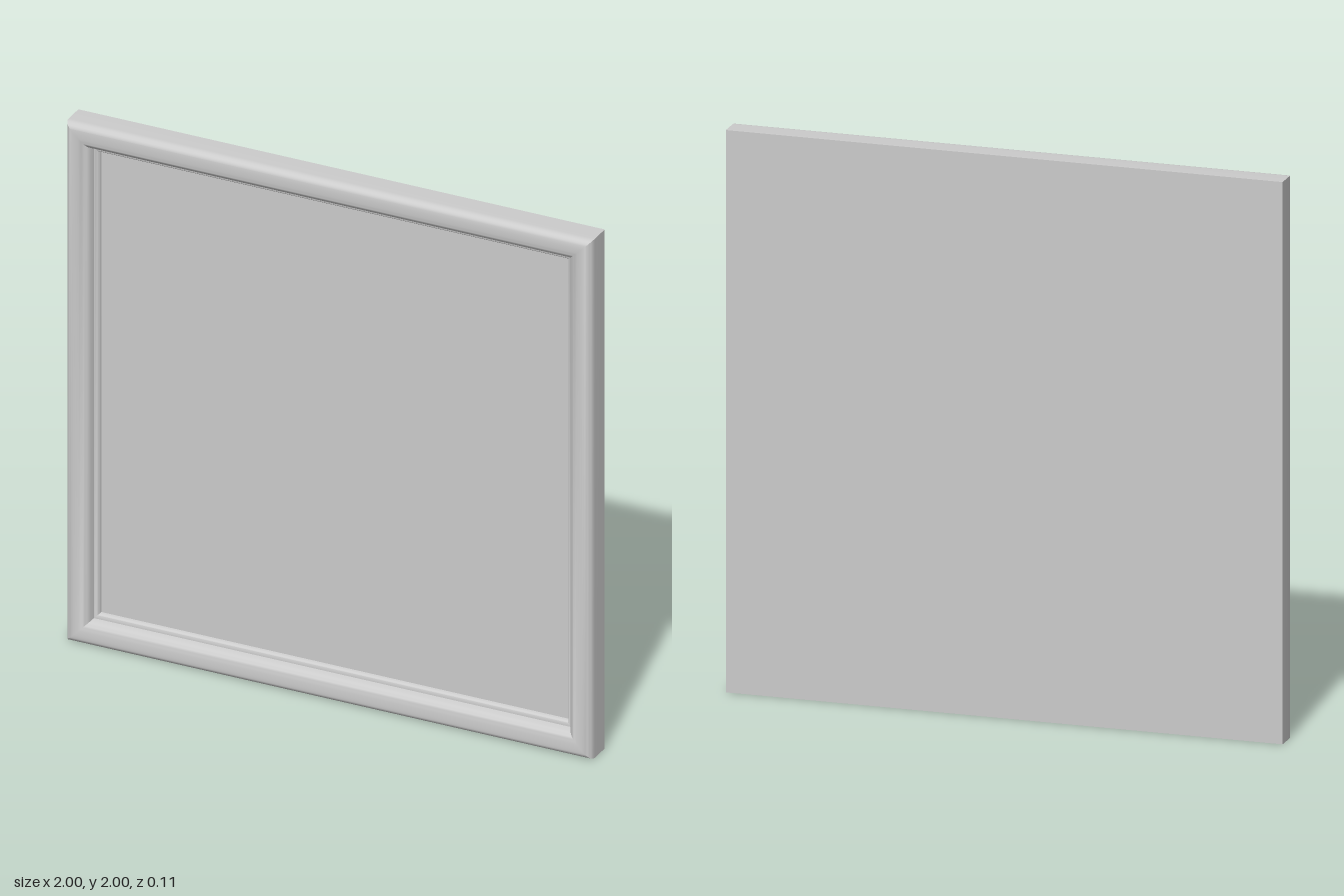
import * as THREE from 'three';
import { toCreasedNormals } from 'three/addons/utils/BufferGeometryUtils.js';

const BACK = -0.055, PANEL = -0.005, INNER = 0.888;

// Moulding cross-section: x = distance from the centre, y = depth toward the front
function mouldingProfile() {
  const s = new THREE.Shape();
  s.moveTo(INNER, BACK);
  s.lineTo(1, BACK);
  s.lineTo(1, 0.02);
  s.bezierCurveTo(1, 0.043, 0.988, 0.055, 0.965, 0.055); // rounded outer edge
  s.bezierCurveTo(0.94, 0.055, 0.92, 0.05, 0.912, 0.03); // soft inner slope
  s.lineTo(0.908, 0.012);
  s.lineTo(0.9, 0.012); // small inner step
  s.quadraticCurveTo(0.89, 0.01, INNER, PANEL);
  return s.getPoints(8);
}

export function createModel() {
  const group = new THREE.Group();
  group.name = 'framedPanel';
  const material = new THREE.MeshStandardMaterial({ color: 0xcccccc });

  // Four-sided lathe makes the mitred square frame
  const points = mouldingProfile().map(p => new THREE.Vector2(p.x * Math.SQRT2, p.y));
  const lathe = new THREE.LatheGeometry(points, 4, Math.PI / 4);
  lathe.rotateX(Math.PI / 2);
  const frame = new THREE.Mesh(toCreasedNormals(lathe, 0.6), material);
  frame.name = 'frame';
  frame.position.y = 1;
  group.add(frame);

  // Flat panel, flush with the back of the frame
  const panel = new THREE.Mesh(new THREE.BoxGeometry(INNER * 2, INNER * 2, PANEL - BACK), material);
  panel.name = 'panel';
  panel.position.set(0, 1, (PANEL + BACK) / 2);
  group.add(panel);

  return group;
}
